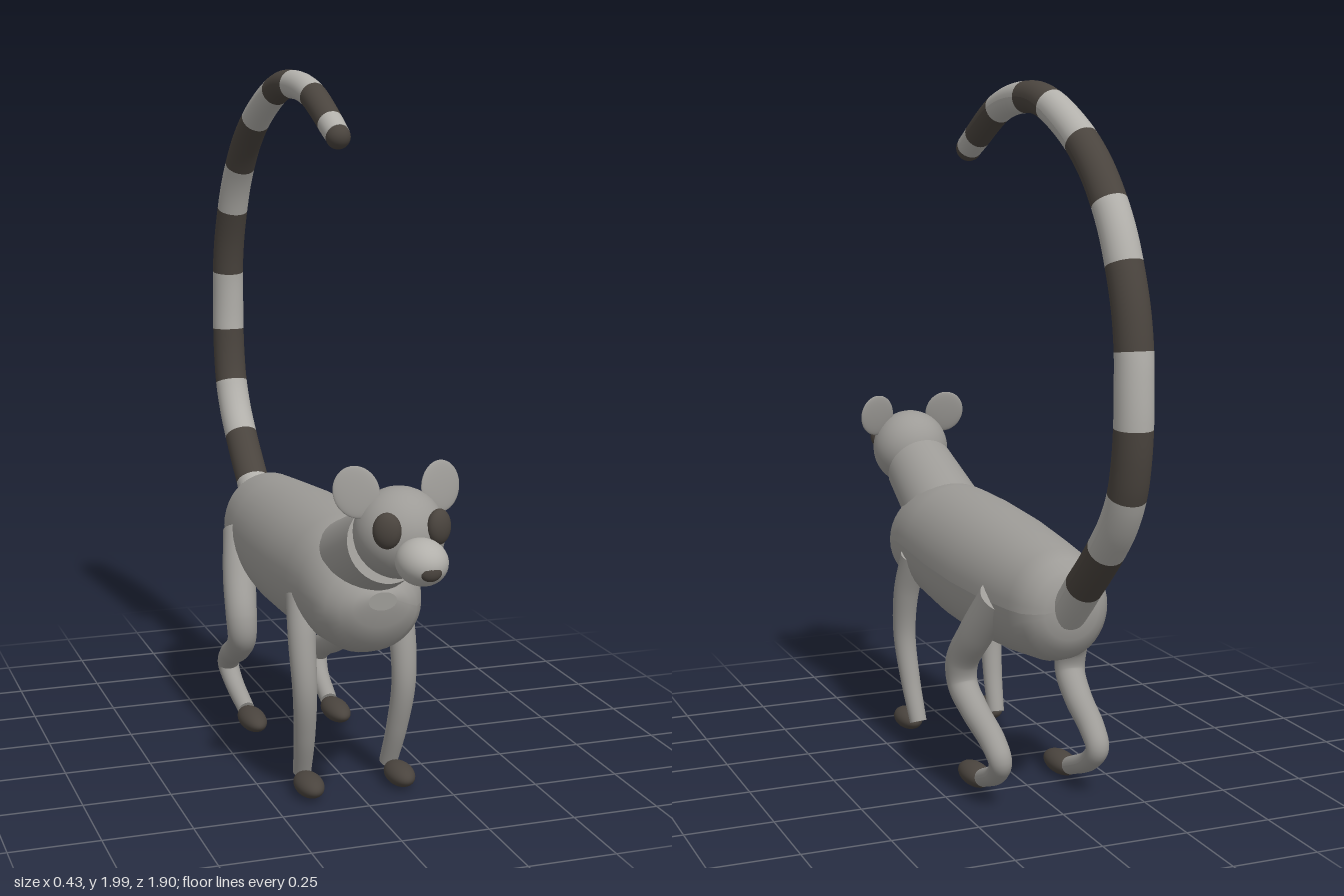
import * as THREE from 'three';

const mat = (name, color) => Object.assign(new THREE.MeshStandardMaterial({ color }), { name });
const X = new THREE.Vector3(1, 0, 0);

// Skin over rings { c, u, v }: centre and two half-axes. Flat caps close both ends.
function loft(rings, sides = 28) {
  const pos = [], idx = [];
  const ring = ({ c, u, v }) => {
    for (let j = 0; j <= sides; j++) {
      const a = (j / sides) * Math.PI * 2;
      const p = c.clone().addScaledVector(u, Math.cos(a)).addScaledVector(v, Math.sin(a));
      pos.push(p.x, p.y, p.z);
    }
  };
  rings.forEach(ring);
  const w = sides + 1;
  for (let i = 0; i < rings.length - 1; i++)
    for (let j = 0; j < sides; j++) {
      const a = i * w + j, b = a + w;
      idx.push(a, a + 1, b, a + 1, b + 1, b);
    }
  for (const end of [0, rings.length - 1]) {
    const s = pos.length / 3;
    ring(rings[end]);
    const c = rings[end].c;
    pos.push(c.x, c.y, c.z);
    for (let j = 0; j < sides; j++)
      idx.push(...(end ? [s + j, s + j + 1, s + w] : [s + j + 1, s + j, s + w]));
  }
  const g = new THREE.BufferGeometry();
  g.setAttribute('position', new THREE.Float32BufferAttribute(pos, 3));
  g.setIndex(idx);
  g.computeVertexNormals();
  return g;
}

// Round limb along part t0..t1 of a curve; radius is a function of t
function limb(curve, radius, t0 = 0, t1 = 1, steps = 40) {
  const rings = [];
  for (let i = 0; i <= steps; i++) {
    const t = t0 + ((t1 - t0) * i) / steps;
    const d = curve.getTangent(t), r = radius(t);
    const u = X.clone().addScaledVector(d, -X.dot(d)).normalize();
    const v = d.clone().cross(u);
    rings.push({ c: curve.getPoint(t), u: u.multiplyScalar(r), v: v.multiplyScalar(r) });
  }
  return loft(rings);
}

const path = (pts) => new THREE.CatmullRomCurve3(pts.map((p) => new THREE.Vector3(...p)));

export function createModel() {
  const model = new THREE.Group();
  model.name = 'ringTailedAnimal';
  const fur = mat('greyFur', 0x9d9b97);
  const pale = mat('paleFur', 0xb2b0ab);
  const dark = mat('darkFur', 0x4a443e);

  const add = (name, geo, material, parent = model) => {
    const m = new THREE.Mesh(geo, material);
    m.name = name;
    parent.add(m);
    return m;
  };
  const ball = (name, material, p, s, parent) => {
    const m = add(name, new THREE.SphereGeometry(1, 32, 20), material, parent);
    m.position.set(...p);
    m.scale.set(...s);
    return m;
  };

  // Body: z, top, bottom, half width
  const body = [
    [-0.552, 0.64, 0.55, 0.05], [-0.547, 0.67, 0.51, 0.08], [-0.53, 0.70, 0.475, 0.105],
    [-0.50, 0.725, 0.445, 0.128], [-0.45, 0.743, 0.428, 0.145], [-0.3, 0.757, 0.41, 0.163],
    [-0.1, 0.775, 0.398, 0.177], [0.1, 0.784, 0.402, 0.18], [0.28, 0.785, 0.418, 0.174],
    [0.38, 0.778, 0.428, 0.168], [0.47, 0.74, 0.437, 0.157], [0.52, 0.708, 0.455, 0.138],
    [0.56, 0.678, 0.488, 0.11], [0.583, 0.655, 0.54, 0.08], [0.594, 0.64, 0.59, 0.04],
  ].map(([z, top, bottom, w]) => ({
    c: new THREE.Vector3(0, (top + bottom) / 2, z),
    u: new THREE.Vector3(w, 0, 0),
    v: new THREE.Vector3(0, (top - bottom) / 2, 0),
  }));
  add('body', loft(body, 40), fur);

  // Neck
  const neck = add('neck', new THREE.CylinderGeometry(0.108, 0.125, 0.32, 36), fur);
  neck.position.set(0, 0.713, 0.47);
  neck.rotation.x = Math.PI / 2 - 0.43;

  // Head
  const head = new THREE.Group();
  head.name = 'head';
  model.add(head);
  ball('skull', fur, [0, 0.833, 0.71], [0.12, 0.12, 0.12], head);
  ball('snout', pale, [0, 0.795, 0.87], [0.066, 0.06, 0.078], head);
  ball('nose', dark, [0, 0.785, 0.932], [0.03, 0.025, 0.017], head);
  for (const s of [1, -1]) {
    const side = s > 0 ? 'left' : 'right';
    const patch = ball(side + 'EyePatch', dark, [s * 0.07, 0.865, 0.808], [0.037, 0.047, 0.026], head);
    patch.rotation.y = s * 0.5;
    const ear = ball(side + 'Ear', fur, [s * 0.115, 0.945, 0.703], [0.06, 0.068, 0.009], head);
    ear.rotation.set(-0.2, s * 0.25, s * -0.3);
  }

  // Legs and feet
  for (const s of [1, -1]) {
    const side = s > 0 ? 'left' : 'right';
    const front = path([[s * 0.135, 0.57, 0.305], [s * 0.147, 0.45, 0.35], [s * 0.146, 0.31, 0.373],
      [s * 0.138, 0.17, 0.345], [s * 0.13, 0.045, 0.297]]);
    add(side + 'FrontLeg', limb(front, (t) => 0.043 - 0.017 * t), fur);
    ball(side + 'FrontFoot', dark, [s * 0.135, 0.036, 0.375], [0.04, 0.032, 0.07]);

    const hind = path([[s * 0.125, 0.592, -0.335], [s * 0.155, 0.47, -0.245], [s * 0.17, 0.37, -0.175],
      [s * 0.168, 0.305, -0.175], [s * 0.16, 0.245, -0.25], [s * 0.152, 0.19, -0.36],
      [s * 0.148, 0.145, -0.405], [s * 0.142, 0.1, -0.37], [s * 0.135, 0.045, -0.25]]);
    add(side + 'HindLeg', limb(hind, (t) => 0.054 - 0.028 * t, 0, 1, 60), fur);
    ball(side + 'HindFoot', dark, [s * 0.135, 0.036, -0.185], [0.04, 0.032, 0.084]);
  }

  // Tail: rings run between even-numbered path points
  const tailPoints = [
    [0, 0.58, -0.52], [0, 0.63, -0.575], [0, 0.68, -0.625], [0, 0.74, -0.69], [0, 0.805, -0.755],
    [0, 0.88, -0.82], [0, 0.965, -0.868], [0, 1.05, -0.89], [0, 1.14, -0.9], [0, 1.235, -0.9],
    [-0.002, 1.33, -0.893], [-0.002, 1.435, -0.873], [0, 1.54, -0.838], [0.002, 1.615, -0.805],
    [0.005, 1.685, -0.763], [0.01, 1.765, -0.7], [0.018, 1.835, -0.625], [0.027, 1.886, -0.55],
    [0.036, 1.925, -0.475], [0.043, 1.945, -0.41], [0.05, 1.948, -0.345], [0.056, 1.94, -0.265],
    [0.061, 1.918, -0.185], [0.066, 1.884, -0.12], [0.07, 1.845, -0.055], [0.071, 1.828, -0.025],
    [0.072, 1.812, 0.005],
  ];
  const tail = new THREE.Group();
  tail.name = 'tail';
  model.add(tail);
  const curve = path(tailPoints), n = tailPoints.length - 1;
  for (let i = 0; i < n; i += 2)
    add('tailRing' + (i / 2 + 1), limb(curve, (t) => 0.052 - 0.016 * t * t, i / n, (i + 2) / n, 10),
      (i / 2) % 2 ? dark : pale, tail);
  ball('tailTip', dark, [0.072, 1.808, 0.009], [0.036, 0.036, 0.036], tail);

  return model;
}
